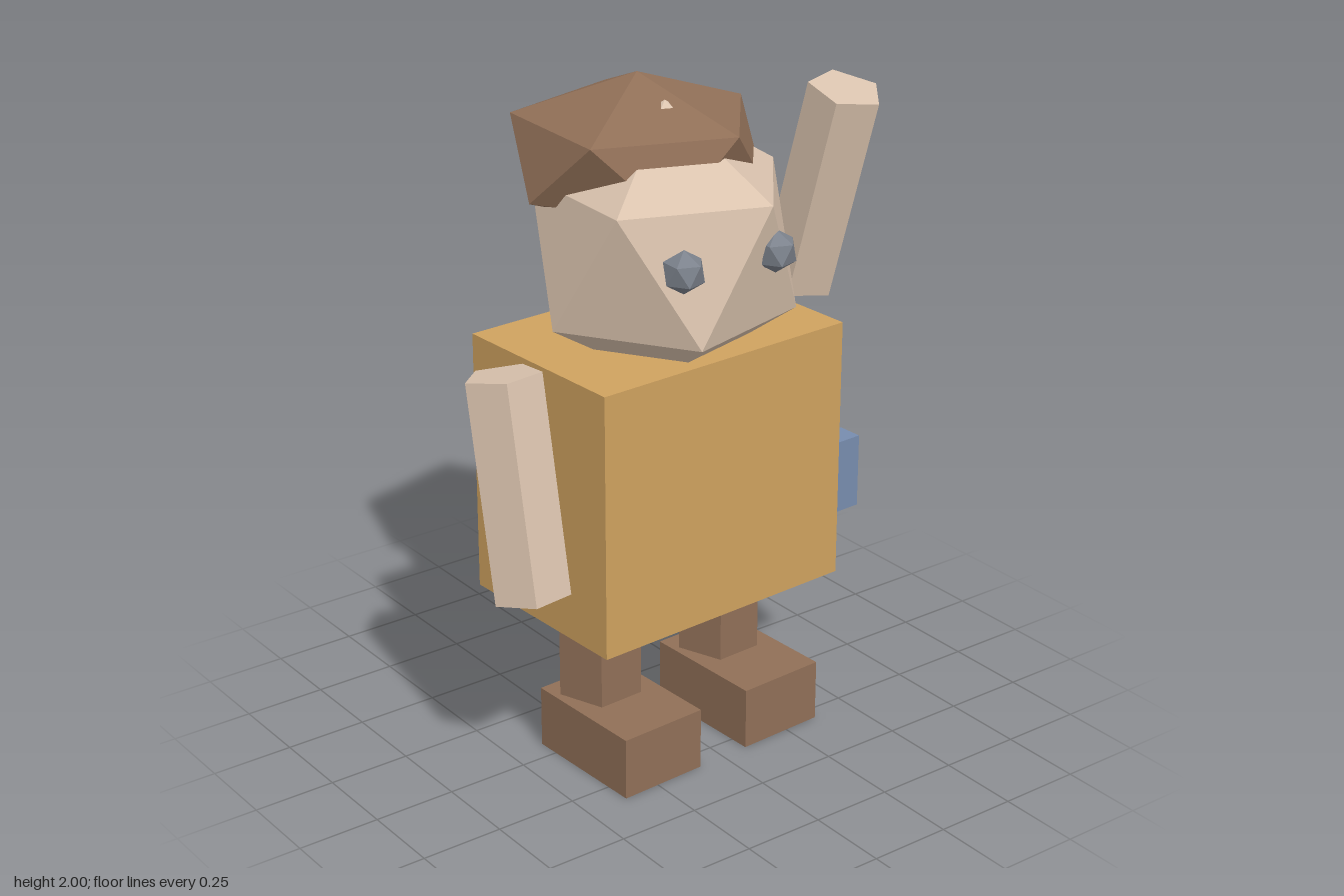
import * as THREE from 'three';

const flat = (name, color) => new THREE.MeshStandardMaterial({ name, color, flatShading: true });

export function createModel() {
  const skin = flat('skin', 0xdac3ae);
  const brown = flat('brown', 0x906f57);
  const tan = flat('tan', 0xcfa25f);
  const blue = flat('blue', 0x778cae);
  const grey = flat('grey', 0x7c828c);

  const model = new THREE.Group();
  model.name = 'figure';

  const add = (parent, name, geometry, material, x, y, z) => {
    const mesh = new THREE.Mesh(geometry, material);
    mesh.name = name;
    mesh.position.set(x, y, z);
    parent.add(mesh);
    return mesh;
  };

  // Icosahedron standing on a vertex, with separate height radius
  const gem = (radius, height = radius) => {
    const g = new THREE.IcosahedronGeometry(1, 0);
    g.rotateZ(Math.atan(2 / (1 + Math.sqrt(5))));
    g.rotateY(0.576);
    g.scale(radius, height, radius);
    g.computeVertexNormals();
    return g;
  };

  // Five-sided limb between two points
  const limb = (name, bottom, top, twist) => {
    const a = new THREE.Vector3(...bottom);
    const b = new THREE.Vector3(...top);
    const axis = b.clone().sub(a);
    const g = new THREE.CylinderGeometry(0.112, 0.112, axis.length(), 5);
    g.rotateY(twist);
    const mid = a.add(b).multiplyScalar(0.5);
    const mesh = add(model, name, g, skin, mid.x, mid.y, mid.z);
    mesh.quaternion.setFromUnitVectors(new THREE.Vector3(0, 1, 0), axis.normalize());
  };

  // Lower figure, turned slightly
  const base = new THREE.Group();
  base.name = 'lowerFigure';
  base.position.set(-0.015, 0, 0.015);
  base.rotation.y = 0.047;
  model.add(base);

  add(base, 'body', new THREE.BoxGeometry(0.87, 0.795, 0.602), tan, 0, 0.8725, 0);
  add(base, 'hipPouch', new THREE.BoxGeometry(0.14, 0.225, 0.078), blue, 0.475, 0.7625, 0.231);

  for (const [side, s] of [['left', 1], ['right', -1]]) {
    const leg = new THREE.CylinderGeometry(0.125, 0.125, 0.5, 5);
    leg.rotateY(Math.PI);
    add(base, side + 'Leg', leg, brown, s * 0.2275, 0.25, 0.005);
    add(base, side + 'Foot', new THREE.BoxGeometry(0.28, 0.19, 0.4), brown, s * 0.2275, 0.095, 0.1);
  }

  // Arms: right hangs down, left is raised
  limb('rightArm', [-0.56, 0.637, 0.155], [-0.565, 1.27, 0.04], -0.47);
  limb('leftArm', [0.535, 1.283, -0.03], [0.559, 1.903, 0.138], 0.314);

  // Head
  add(model, 'head', gem(0.415), skin, -0.02, 1.537, 0.05);
  add(model, 'hair', gem(0.397, 0.222), brown, -0.013, 1.778, -0.088);
  add(model, 'rightEye', gem(0.063), grey, -0.187, 1.577, 0.358);
  add(model, 'leftEye', gem(0.063), grey, 0.117, 1.577, 0.373);

  return model;
}
